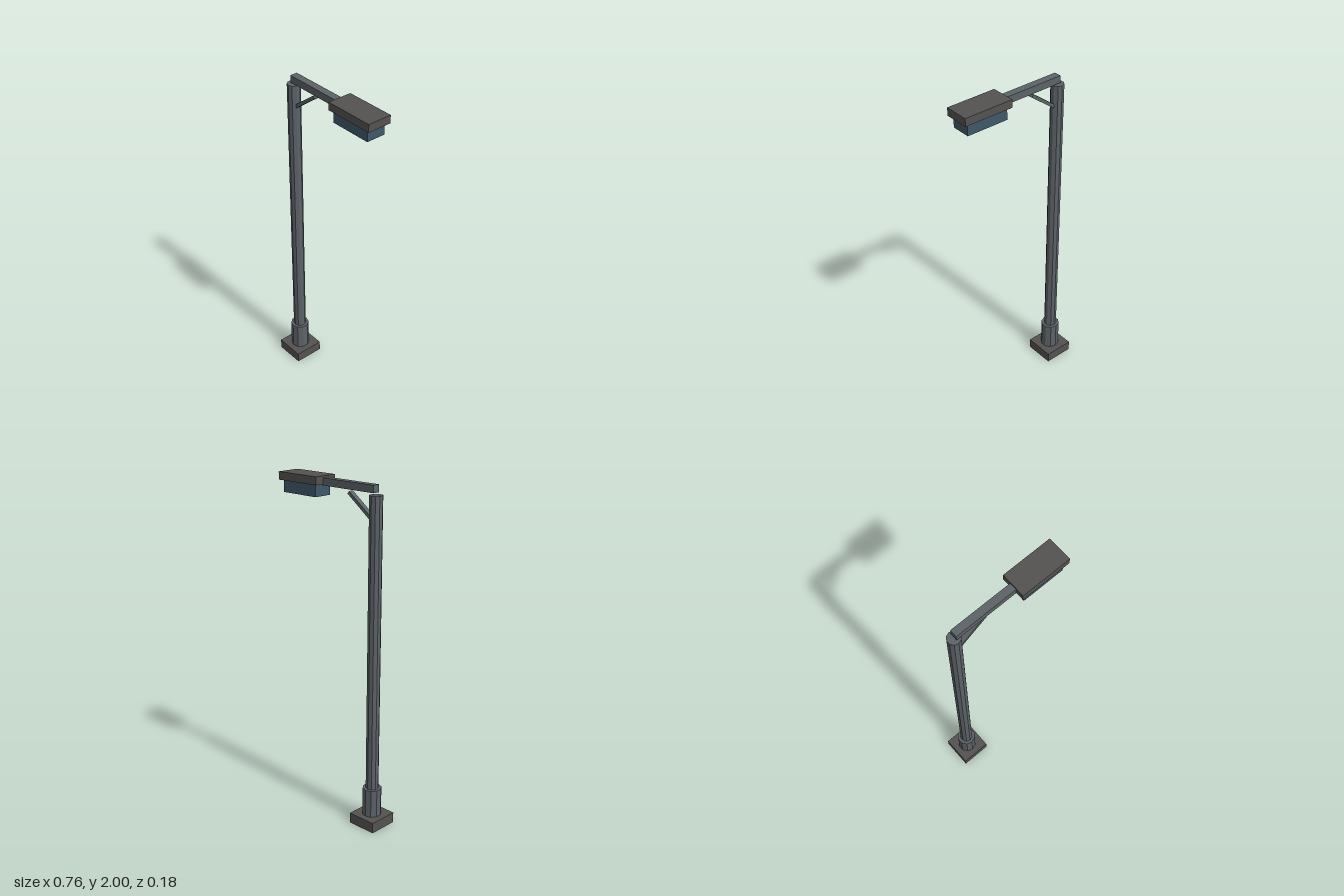
import * as THREE from 'three';

const material = (color) => new THREE.MeshStandardMaterial({ color, flatShading: true });

export function createModel() {
  const model = new THREE.Group();
  const steel = material(0x5d6368);
  const dark = material(0x555350);
  const glass = material(0x40586a);
  const poleX = -0.291;

  const add = (name, geometry, mat, x, y, z = 0) => {
    const mesh = new THREE.Mesh(geometry, mat);
    mesh.name = name;
    mesh.position.set(x, y, z);
    model.add(mesh);
    return mesh;
  };
  // Box given by its x and y ranges and its depth
  const box = (name, mat, x0, x1, y0, y1, depth) =>
    add(name, new THREE.BoxGeometry(x1 - x0, y1 - y0, depth), mat, (x0 + x1) / 2, (y0 + y1) / 2);
  // Ten-sided upright post
  const post = (name, radius, y0, y1) =>
    add(name, new THREE.CylinderGeometry(radius, radius, y1 - y0, 10), steel, poleX, (y0 + y1) / 2);

  // Foot and pole
  box('basePlate', dark, -0.381, -0.201, 0, 0.063, 0.181);
  post('poleSleeve', 0.056, 0.06, 0.232);
  post('pole', 0.038, 0.06, 1.936);

  // Arm with its diagonal brace
  box('arm', steel, poleX, 0.084, 1.948, 1.99, 0.044);
  const from = new THREE.Vector2(-0.278, 1.801);
  const to = new THREE.Vector2(-0.104, 1.931);
  const brace = add('armBrace', new THREE.BoxGeometry(from.distanceTo(to), 0.019, 0.03), steel,
    (from.x + to.x) / 2, (from.y + to.y) / 2);
  brace.rotation.z = to.clone().sub(from).angle();

  // Lamp head
  box('lampHousing', dark, 0.081, 0.381, 1.954, 2, 0.146);
  box('lampLens', glass, 0.103, 0.357, 1.885, 1.956, 0.114);

  return model;
}
